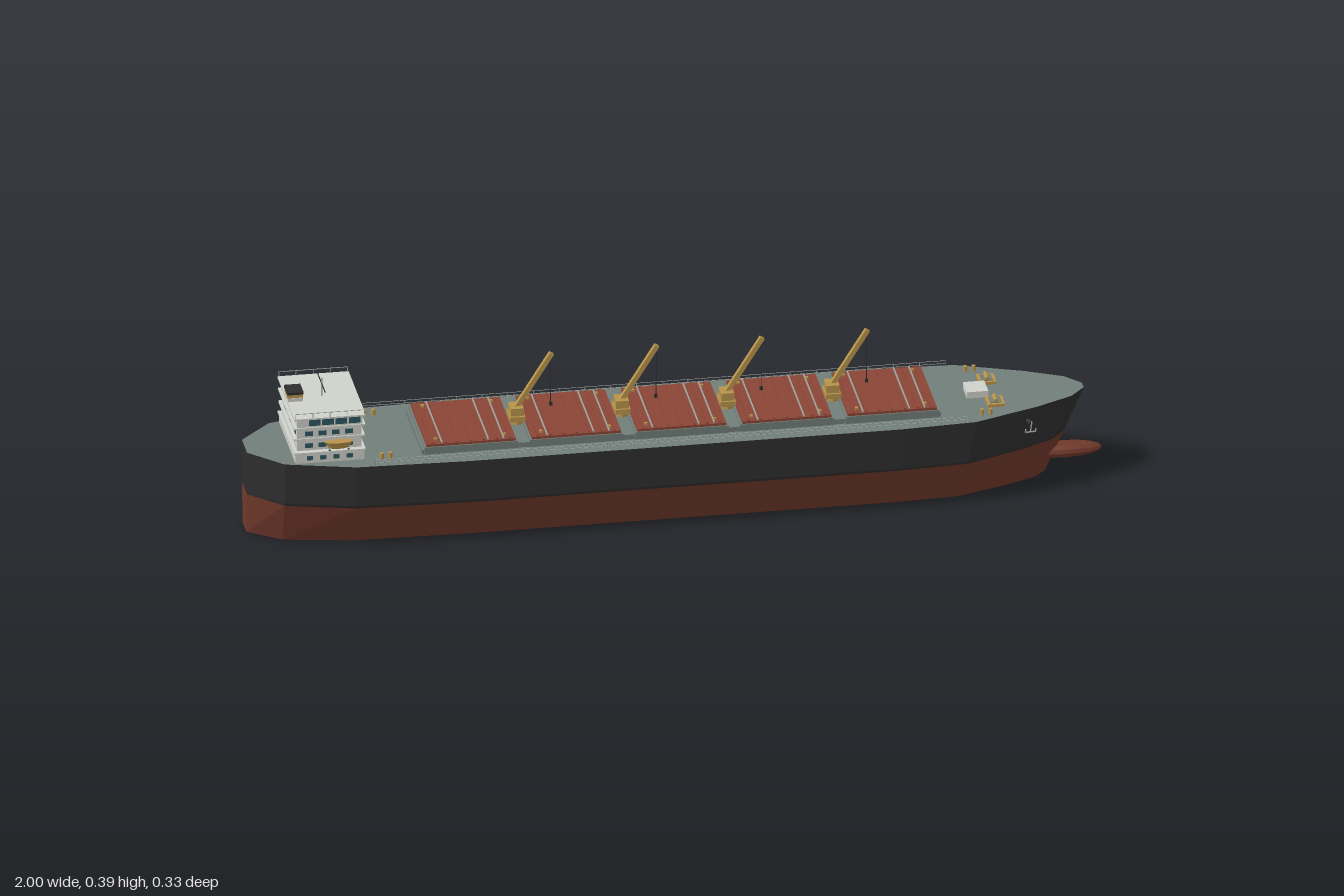
import * as THREE from 'three';

const mat = (name, color, side = THREE.FrontSide) => {
  const m = new THREE.MeshStandardMaterial({ color, side, flatShading: true });
  m.name = name;
  return m;
};

export function createModel() {
  const ship = new THREE.Group();
  ship.name = 'bulkCarrier';
  const black = mat('hullBlack', 0x2e2e2e);
  const red = mat('antifoulingRed', 0x70382b);
  const coverRed = mat('hatchRed', 0x8a4535);
  const deckGrey = mat('deckGrey', 0x727e79);
  const white = mat('houseWhite', 0xcfd1cb);
  const gold = mat('craneYellow', 0xb8944a);
  const glass = mat('windowTeal', 0x2f5661);
  const steel = mat('steelGrey', 0x9ba29f);

  const add = (name, geo, m, x = 0, y = 0, z = 0, parent = ship) => {
    const mesh = new THREE.Mesh(geo, m);
    mesh.name = name;
    mesh.position.set(x, y, z);
    parent.add(mesh);
    return mesh;
  };
  // box given by centre x, bottom y, centre z
  const box = (name, m, w, h, d, x, y, z, parent = ship) =>
    add(name, new THREE.BoxGeometry(w, h, d), m, x, y + h / 2, z, parent);
  // thin bar between two points
  const bar = (name, m, a, b, r, parent = ship, sides = 5) => {
    const A = new THREE.Vector3(...a), B = new THREE.Vector3(...b);
    const mesh = add(name, new THREE.CylinderGeometry(r, r, A.distanceTo(B), sides), m, 0, 0, 0, parent);
    mesh.position.copy(A).add(B).multiplyScalar(0.5);
    mesh.quaternion.setFromUnitVectors(new THREE.Vector3(0, 1, 0), B.sub(A).normalize());
    return mesh;
  };

  // hull: one deck outline, raked at the bow and narrowed below the knuckle
  const DECK = 0.206;
  const half = [[-1, 0.035], [-0.925, 0.112], [-0.765, 0.155], [-0.5, 0.165], [0.5, 0.165],
    [0.68, 0.155], [0.835, 0.096], [0.92, 0.053], [0.955, 0.012]];
  const outline = [...half, ...half.slice().reverse().map(([x, z]) => [x, -z])];
  const ring = (y) => outline.map(([x, z]) => {
    const bow = THREE.MathUtils.clamp((x - 0.5) / 0.455, 0, 1);
    const narrow = y >= 0.107 ? 1 : THREE.MathUtils.lerp(0.72, 1, y / 0.107);
    return [x - 0.09 * bow * (1 - y / DECK), y, z * narrow];
  });
  const soup = (tris) => {
    const g = new THREE.BufferGeometry();
    g.setAttribute('position', new THREE.Float32BufferAttribute(tris.flat(), 3));
    g.computeVertexNormals();
    return g;
  };
  const band = (levels) => {
    const t = [];
    for (let k = 0; k + 1 < levels.length; k++) {
      const lo = ring(levels[k]), hi = ring(levels[k + 1]);
      lo.forEach((p, i) => {
        const j = (i + 1) % lo.length;
        t.push(p, lo[j], hi[j], p, hi[j], hi[i]);
      });
    }
    return soup(t);
  };
  const cap = (y, up) => {
    const r = ring(y), t = [];
    r.forEach((p, i) => {
      const q = r[(i + 1) % r.length];
      t.push([0, y, 0], up ? p : q, up ? q : p);
    });
    return soup(t);
  };
  add('lowerHull', band([0, 0.1]), red);
  add('upperHull', band([0.1, 0.107, DECK]), black);
  add('hullBottom', cap(0, false), black);
  add('deck', cap(DECK, true), deckGrey);
  const bulb = add('bowBulb', new THREE.SphereGeometry(1, 12, 8).rotateZ(Math.PI / 2), red, 0.91, 0.047, 0);
  bulb.scale.set(0.09, 0.018, 0.029);

  // cargo hatches with ribbed covers
  box('hatchCoaming', deckGrey, 1.21, 0.012, 0.225, 0, DECK, 0);
  for (let i = 0; i < 5; i++) {
    const x = -0.49 + i * 0.2455;
    const hatch = new THREE.Group();
    hatch.name = 'hatch' + (i + 1);
    hatch.position.x = x;
    ship.add(hatch);
    box('coaming', deckGrey, 0.218, 0.018, 0.23, 0, DECK, 0, hatch);
    box('cover', coverRed, 0.208, 0.006, 0.224, 0, DECK + 0.018, 0, hatch);
    for (let k = 0; k < 7; k++)
      box('coverRib', coverRed, 0.004, 0.003, 0.22, -0.09 + k * 0.03, DECK + 0.024, 0, hatch);
    for (const sx of [-0.068, 0.04, 0.076])
      box('coverSeam', steel, 0.003, 0.004, 0.222, sx, DECK + 0.0235, 0, hatch);
    for (const sx of [-0.08, 0.08]) for (const z of [-0.09, 0.09])
      box('coverCleat', gold, 0.007, 0.006, 0.007, sx, DECK + 0.023, z, hatch);
  }

  // deck cranes between the hatches
  for (let i = 0; i < 4; i++) {
    const crane = new THREE.Group();
    crane.name = 'crane' + (i + 1);
    crane.position.set(-0.367 + i * 0.2455, 0, 0);
    ship.add(crane);
    add('pedestal', new THREE.CylinderGeometry(0.016, 0.02, 0.03, 10), gold, 0, DECK + 0.015, 0, crane);
    box('craneBase', gold, 0.036, 0.012, 0.05, 0, 0.229, 0, crane);
    box('craneHouse', gold, 0.03, 0.022, 0.04, 0, 0.238, 0, crane);
    const jib = box('jib', gold, 0.011, 0.162, 0.012, 0, 0, 0, crane);
    jib.position.set(0.04, 0.318, 0);
    jib.rotation.z = -Math.atan2(0.083, 0.132);
    bar('hoistCable', black, [0.081, 0.38, 0], [0.081, 0.262, 0], 0.001, crane, 4);
    box('hook', black, 0.007, 0.008, 0.005, 0.081, 0.254, 0, crane);
  }

  // accommodation block
  const house = new THREE.Group();
  house.name = 'accommodation';
  ship.add(house);
  const HX = -0.82;
  box('lowerTier', white, 0.16, 0.026, 0.228, HX, DECK, 0, house);
  box('middleTiers', white, 0.15, 0.066, 0.208, HX, 0.23, 0, house);
  box('bridge', white, 0.152, 0.026, 0.22, HX, 0.294, 0, house);
  for (const [y, w] of [[0.23, 0.234], [0.261, 0.214], [0.291, 0.226], [0.317, 0.236]])
    box('deckSlab', white, 0.166, 0.004, w, HX, y, 0, house);
  for (let k = 0; k < 6; k++) {
    const z = -0.082 + k * 0.0328;
    box('bridgeWindow', glass, 0.004, 0.015, 0.03, HX + 0.076, 0.299, z, house);
    if (k % 2) box('aftWindow', glass, 0.004, 0.01, 0.018, HX - 0.075, 0.272, z, house);
  }
  for (const s of [-1, 1]) {
    for (let k = 0; k < 4; k++) {
      const x = HX - 0.035 + k * 0.031;
      box('wingWindow', glass, 0.027, 0.015, 0.004, x, 0.299, s * 0.11, house);
      for (const y of [0.241, 0.271])
        box('cabinWindow', glass, 0.018, 0.011, 0.004, x - 0.012, y, s * 0.104, house);
      box('lowerWindow', glass, 0.014, 0.01, 0.004, x - 0.012, 0.214, s * 0.114, house);
    }
    // roof railing
    bar('roofRail', steel, [HX - 0.08, 0.333, s * 0.116], [HX + 0.08, 0.333, s * 0.116], 0.0009, house, 4);
    for (let k = 0; k < 5; k++) {
      const x = HX - 0.08 + k * 0.04;
      bar('railPost', steel, [x, 0.32, s * 0.116], [x, 0.333, s * 0.116], 0.0009, house, 4);
    }
    // lifeboat: tapered hull under davits
    const boat = add('lifeboat', new THREE.CylinderGeometry(0.5, 0.32, 1, 10), gold, HX + 0.02, 0.25, s * 0.117, house);
    boat.scale.set(0.07, 0.016, 0.024);
    for (const dx of [-0.022, 0.022])
      bar('davit', black, [HX + 0.02 + dx, 0.232, s * 0.108], [HX + 0.02 + dx, 0.243, s * 0.13], 0.0015, house, 4);
  }

  // funnel and mast
  box('funnel', white, 0.034, 0.009, 0.046, -0.885, 0.321, 0, house);
  box('funnelBand', gold, 0.036, 0.009, 0.044, -0.885, 0.329, 0, house);
  box('funnelTop', black, 0.038, 0.006, 0.046, -0.885, 0.338, 0, house);
  bar('mast', steel, [-0.82, 0.32, 0], [-0.82, 0.366, 0], 0.0018, house);
  bar('mastYard', black, [-0.82, 0.352, -0.05], [-0.82, 0.352, 0.05], 0.0014, house);

  // forecastle gear
  box('bowStore', white, 0.05, 0.016, 0.056, 0.705, DECK, 0);
  for (const s of [-1, 1]) {
    const winch = new THREE.Group();
    winch.name = 'windlass';
    winch.position.set(0.74, 0, s * 0.06);
    ship.add(winch);
    box('winchBed', gold, 0.04, 0.007, 0.046, 0, DECK, 0, winch);
    box('winchPlate', deckGrey, 0.026, 0.003, 0.032, 0, DECK + 0.006, 0, winch);
    bar('winchDrum', gold, [0, DECK + 0.012, -0.016], [0, DECK + 0.012, 0.016], 0.005, winch, 8);
    for (const [x, z] of [[0.7, 0.117], [0.72, 0.117], [-0.68, 0.117], [-0.7, 0.117]])
      add('bollard', new THREE.CylinderGeometry(0.005, 0.005, 0.014, 8), gold, x, DECK + 0.007, s * z);

    // anchor hung from a hawse pipe
    bar('hawsePipe', black, [0.8, 0.176, s * 0.08], [0.815, 0.176, s * 0.121], 0.005, ship, 8);
    bar('anchorShank', steel, [0.815, 0.182, s * 0.124], [0.812, 0.155, s * 0.124], 0.0018);
    bar('anchorCrown', steel, [0.8, 0.156, s * 0.125], [0.824, 0.156, s * 0.122], 0.002);
    for (const x of [0.8, 0.824])
      bar('anchorFluke', steel, [x, 0.156, s * 0.124], [x, 0.165, s * 0.127], 0.0018);

    // side railing
    const z = s * 0.152;
    for (const y of [0.213, 0.22])
      bar('sideRail', steel, [-0.72, y, z], [0.66, y, z], 0.0007, ship, 4);
    for (let k = 0; k <= 23; k++)
      bar('sideRailPost', steel, [-0.72 + k * 0.06, DECK, z], [-0.72 + k * 0.06, 0.22, z], 0.0008, ship, 4);
  }
  return ship;
}
